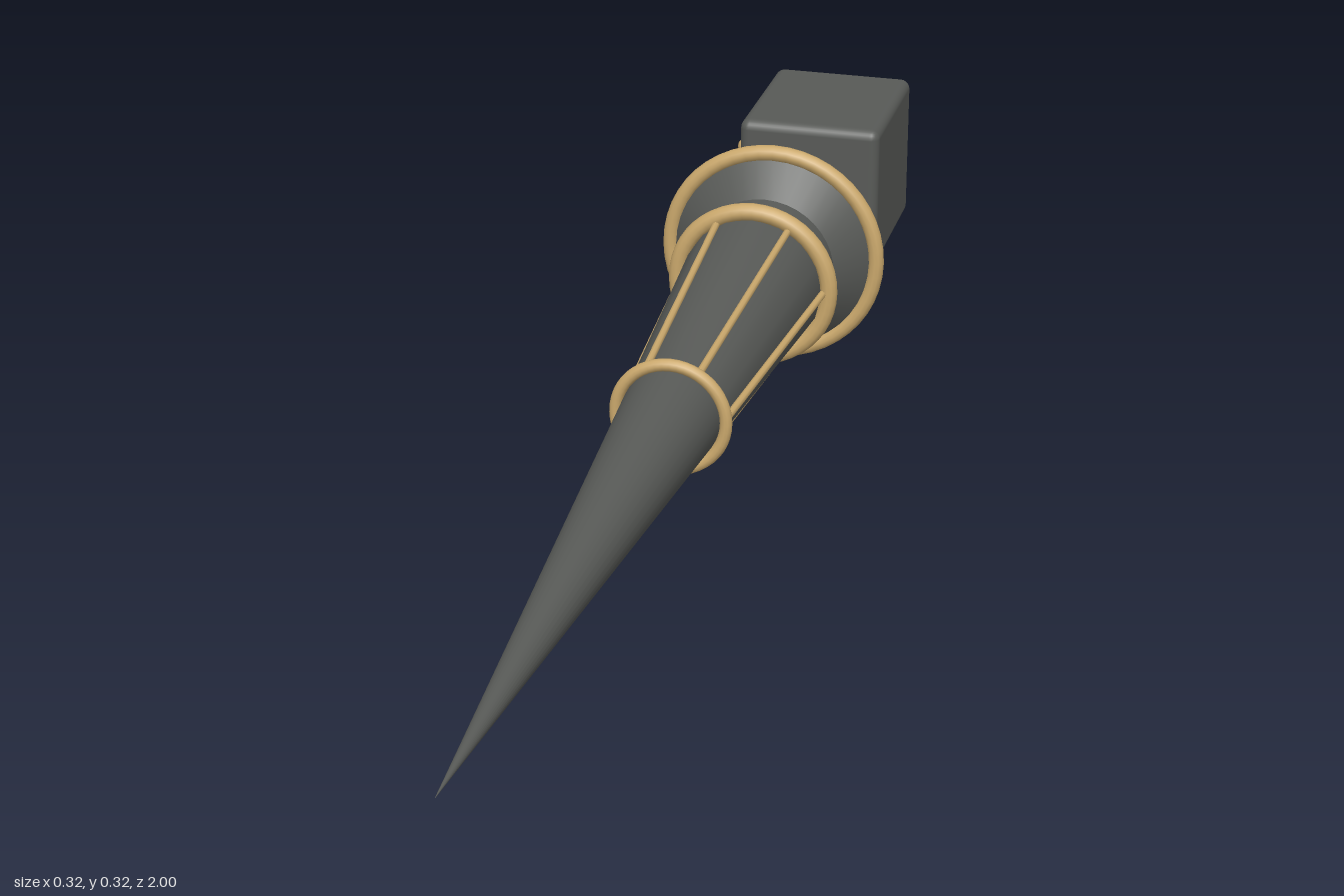
import * as THREE from 'three';
import { toCreasedNormals } from 'three/addons/utils/BufferGeometryUtils.js';
import { RoundedBoxGeometry } from 'three/addons/geometries/RoundedBoxGeometry.js';

const mat = (name, color) => {
  const m = new THREE.MeshStandardMaterial({ color });
  m.name = name;
  return m;
};

export function createModel() {
  const steel = mat('dark steel', 0x585a57);
  const brass = mat('brass', 0xcaa86c);
  const leather = mat('brown leather', 0x5c443e);

  const root = new THREE.Group();
  root.name = 'lance';
  root.position.y = 0.16; // the long axis runs along z at this height

  const add = (name, geometry, material, x = 0, y = 0, z = 0) => {
    const mesh = new THREE.Mesh(geometry, material);
    mesh.name = name;
    mesh.position.set(x, y, z);
    root.add(mesh);
    return mesh;
  };
  // Profile of [radius, z] pairs, from back to front, turned around the z axis
  const turned = (name, profile, material, sides = 32, crease = 0.5) => {
    const g = new THREE.LatheGeometry(profile.map(([r, z]) => new THREE.Vector2(r, z)), sides);
    g.rotateX(Math.PI / 2);
    return add(name, toCreasedNormals(g, crease), material);
  };

  // Tapered point and sleeve
  turned('point', [[0, 0.1], [0.064, 0.1], [0.0002, 1]], steel, 32);
  turned('sleeve', [[0.098, -0.33], [0.064, 0.11]], steel, 16);

  // Hand guard: neck, flare, rear cone and grip
  turned('guard', [
    [0.05, -0.66], [0.05, -0.575], [0.138, -0.45], [0.138, -0.43],
    [0.098, -0.385], [0.098, -0.325], [0, -0.325],
  ], steel, 40);
  turned('guardBand', [[0.107, -0.499], [0.14, -0.453]], leather, 40);

  // Rings: radius, tube, z
  [
    ['frontRing', 0.071, 0.008, 0.11],
    ['sleeveRing', 0.106, 0.012, -0.318],
    ['guardRing', 0.147, 0.011, -0.436],
    ['gripRing', 0.055, 0.009, -0.636],
  ].forEach(([name, r, tube, z]) =>
    add(name, new THREE.TorusGeometry(r, tube, 12, 48), brass, 0, 0, z));

  // Six long ribs on the sleeve
  for (let i = 0; i < 6; i++) {
    const a = (i * Math.PI) / 3;
    const at = (r, z) => new THREE.Vector3(r * Math.cos(a), r * Math.sin(a), z);
    const path = new THREE.LineCurve3(at(0.067, 0.11), at(0.1, -0.32));
    add('rib', new THREE.TubeGeometry(path, 1, 0.005, 8), brass);
  }

  // Eight studs around the guard band
  for (let i = 0; i < 8; i++) {
    const a = ((i + 0.5) * Math.PI) / 4;
    add('guardStud', new THREE.SphereGeometry(0.008, 10, 8), brass,
      0.108 * Math.cos(a), 0.108 * Math.sin(a), -0.497);
  }

  // Rear block with three studs on one side
  add('block', new RoundedBoxGeometry(0.206, 0.214, 0.245, 3, 0.014), steel, 0, 0, -0.775);
  for (const z of [-0.86, -0.78, -0.7]) {
    add('blockStud', new THREE.SphereGeometry(0.012, 12, 8), brass, -0.104, 0.05, z);
  }

  // Pommel
  turned('pommelNeck', [[0.048, -0.925], [0.048, -0.89]], steel);
  turned('pommel', [
    [0, -1], [0.03, -0.999], [0.054, -0.993], [0.068, -0.982], [0.075, -0.966],
    [0.074, -0.953], [0.066, -0.936], [0.052, -0.92], [0.047, -0.908], [0, -0.908],
  ], brass, 32, 0.9);

  const model = new THREE.Group();
  model.name = 'model';
  model.add(root);
  return model;
}
